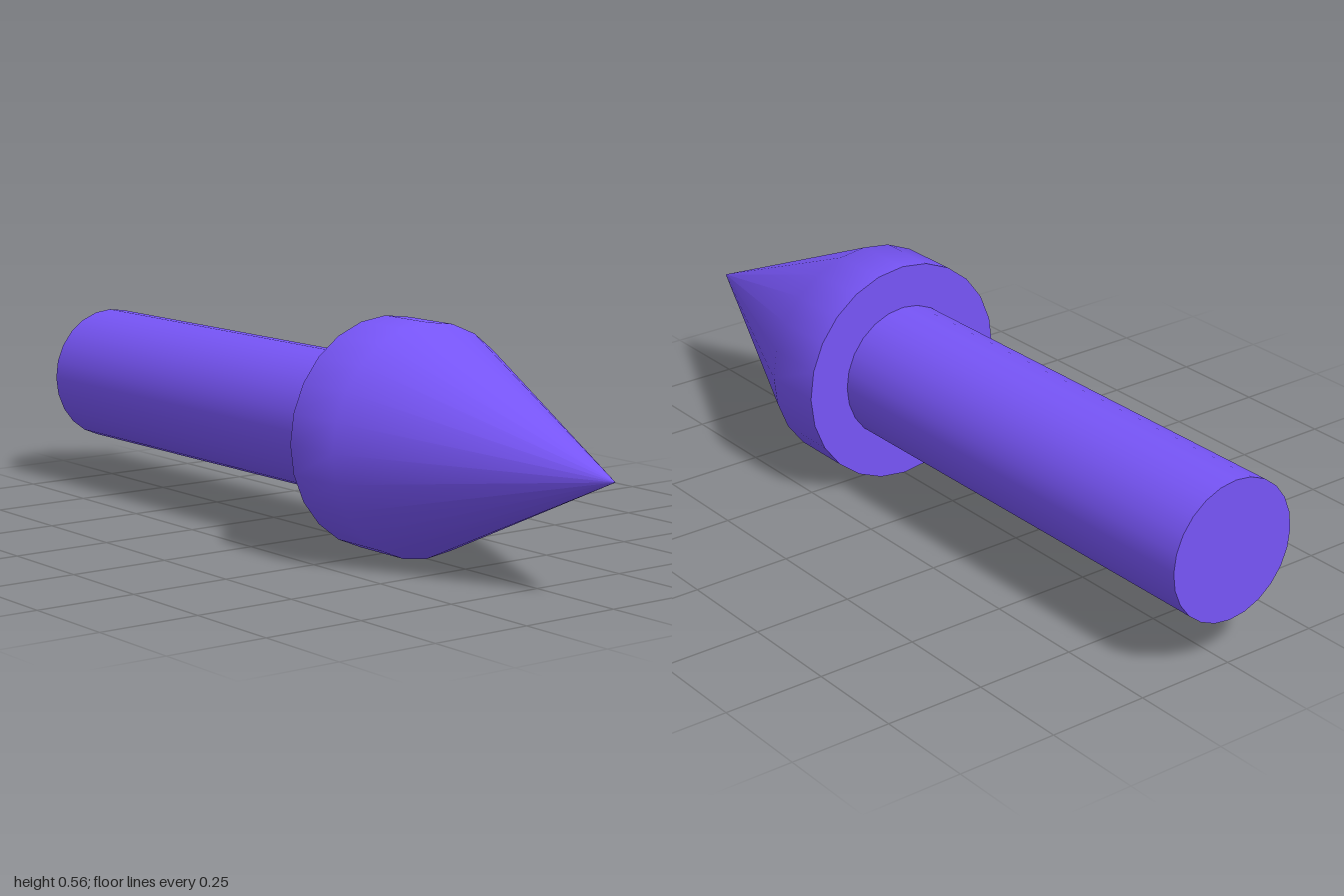
import * as THREE from 'three';

const SIDES = 24, AXIS_Y = 0.28;
const HEAD_R = 0.28, SHAFT_R = 0.172;
const BACK = -1, NECK = 0.2, SHOULDER = 0.36, TIP = 1;

export function createModel() {
  const group = new THREE.Group();
  group.name = 'arrow';
  const material = new THREE.MeshStandardMaterial({ color: 0x7755f7 });

  const add = (name, geometry, parent = group) => {
    const mesh = new THREE.Mesh(geometry, material);
    mesh.name = name;
    parent.add(mesh);
    return mesh;
  };

  // Shaft: capped cylinder lying along z
  const length = NECK - BACK;
  const shaft = add('shaft', new THREE.CylinderGeometry(SHAFT_R, SHAFT_R, length, SIDES).rotateX(Math.PI / 2));
  shaft.position.set(0, AXIS_Y, BACK + length / 2);

  // Head: short collar running smoothly into a pointed cone
  const head = new THREE.Group();
  head.name = 'head';
  head.position.y = AXIS_Y;
  group.add(head);
  const profile = [[HEAD_R, NECK], [HEAD_R, SHOULDER], [0, TIP]].map(([r, z]) => new THREE.Vector2(r, z));
  add('headPoint', new THREE.LatheGeometry(profile, SIDES).rotateX(Math.PI / 2), head);

  // Flat back face of the head
  const back = add('headBack', new THREE.CircleGeometry(HEAD_R, SIDES).rotateY(Math.PI), head);
  back.position.z = NECK;

  return group;
}
